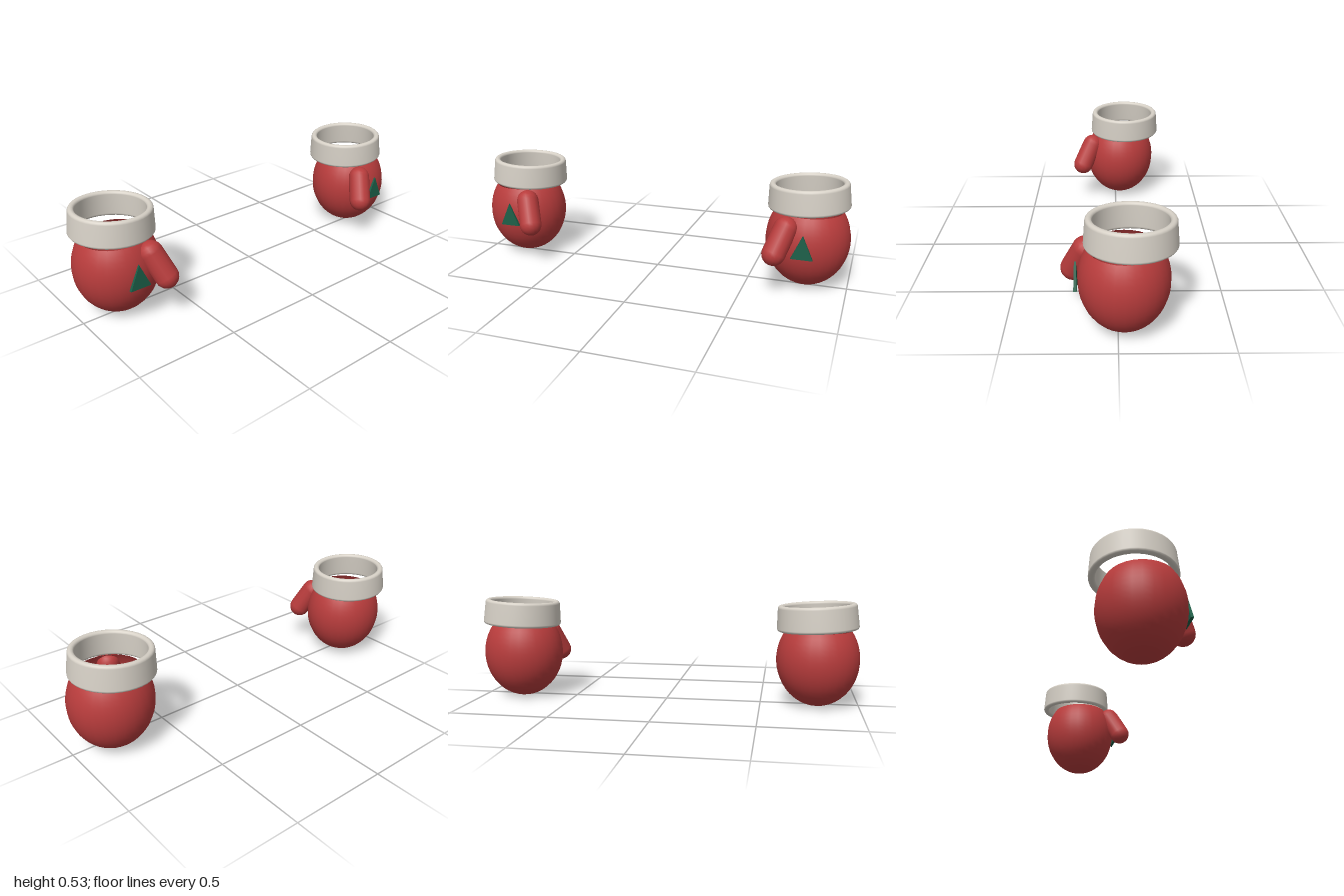
import * as THREE from 'three';

const red = new THREE.MeshStandardMaterial({ color: 0xb83c3c, side: THREE.DoubleSide });
red.name = 'red wool';
const cream = new THREE.MeshStandardMaterial({ color: 0xd6d0c6, side: THREE.DoubleSide });
cream.name = 'cream cuff';
const green = new THREE.MeshStandardMaterial({ color: 0x1c5f48 });
green.name = 'green patch';

function add(group, name, geometry, material) {
  const mesh = new THREE.Mesh(geometry, material);
  mesh.name = name;
  group.add(mesh);
  return mesh;
}

// Tapered ring with rounded edges, open through the middle
function cuffGeometry() {
  const h = 0.065, r = 0.014, pts = [];
  const corners = [ // x, y, start angle of the rounded edge
    [0.204 - r, -h + r, -Math.PI / 2],
    [0.196 - r, h - r, 0],
    [0.165 + r, h - r, Math.PI / 2],
    [0.172 + r, -h + r, Math.PI],
  ];
  for (const [x, y, start] of corners) {
    for (let i = 0; i <= 4; i++) {
      const a = start + (i / 4) * Math.PI / 2;
      pts.push(new THREE.Vector2(x + r * Math.cos(a), y + r * Math.sin(a)));
    }
  }
  pts.push(pts[0].clone());
  return new THREE.LatheGeometry(pts, 40);
}

// Thin upright triangle, a little thicker at the base
function patchGeometry() {
  const shape = new THREE.Shape();
  shape.moveTo(-0.053, 0);
  shape.lineTo(0.053, 0);
  shape.lineTo(0, 0.12);
  shape.closePath();
  const geo = new THREE.ExtrudeGeometry(shape, { depth: 0.015, bevelEnabled: false });
  geo.translate(0, 0, -0.0075);
  const p = geo.attributes.position;
  for (let i = 0; i < p.count; i++) p.setZ(i, p.getZ(i) * (1 - 0.45 * p.getY(i) / 0.12));
  geo.computeVertexNormals();
  return geo;
}

function mitten(side) {
  const group = new THREE.Group();
  group.name = side > 0 ? 'leftMitten' : 'rightMitten';

  // Hollow hand, open at the wrist
  const open = Math.acos(0.15 / 0.24);
  const hand = add(group, 'hand',
    new THREE.SphereGeometry(1, 28, 18, 0, Math.PI * 2, open, Math.PI - open), red);
  hand.scale.set(0.21, 0.24, 0.203);
  hand.position.set(side * 0.788, 0.24, -0.027);

  // Thumb leaning forward and toward the middle
  const top = new THREE.Vector3(side * 0.697, 0.336, 0.143);
  const tip = new THREE.Vector3(side * 0.655, 0.22, 0.2);
  const axis = top.clone().sub(tip);
  const thumb = add(group, 'thumb', new THREE.CapsuleGeometry(0.058, axis.length(), 5, 16), red);
  thumb.position.copy(top).add(tip).multiplyScalar(0.5);
  thumb.quaternion.setFromUnitVectors(new THREE.Vector3(0, 1, 0), axis.normalize());

  // Cuff tipped toward the middle
  const cuff = add(group, 'cuff', cuffGeometry(), cream);
  cuff.position.set(side * 0.779, 0.46, -0.055);
  cuff.rotation.z = side * 0.054;

  // Tree patch on the front
  add(group, 'treePatch', patchGeometry(), green).position.set(side * 0.787, 0.201, 0.184);
  return group;
}

export function createModel() {
  const model = new THREE.Group();
  model.name = 'mittens';
  model.add(mitten(1), mitten(-1));
  return model;
}
